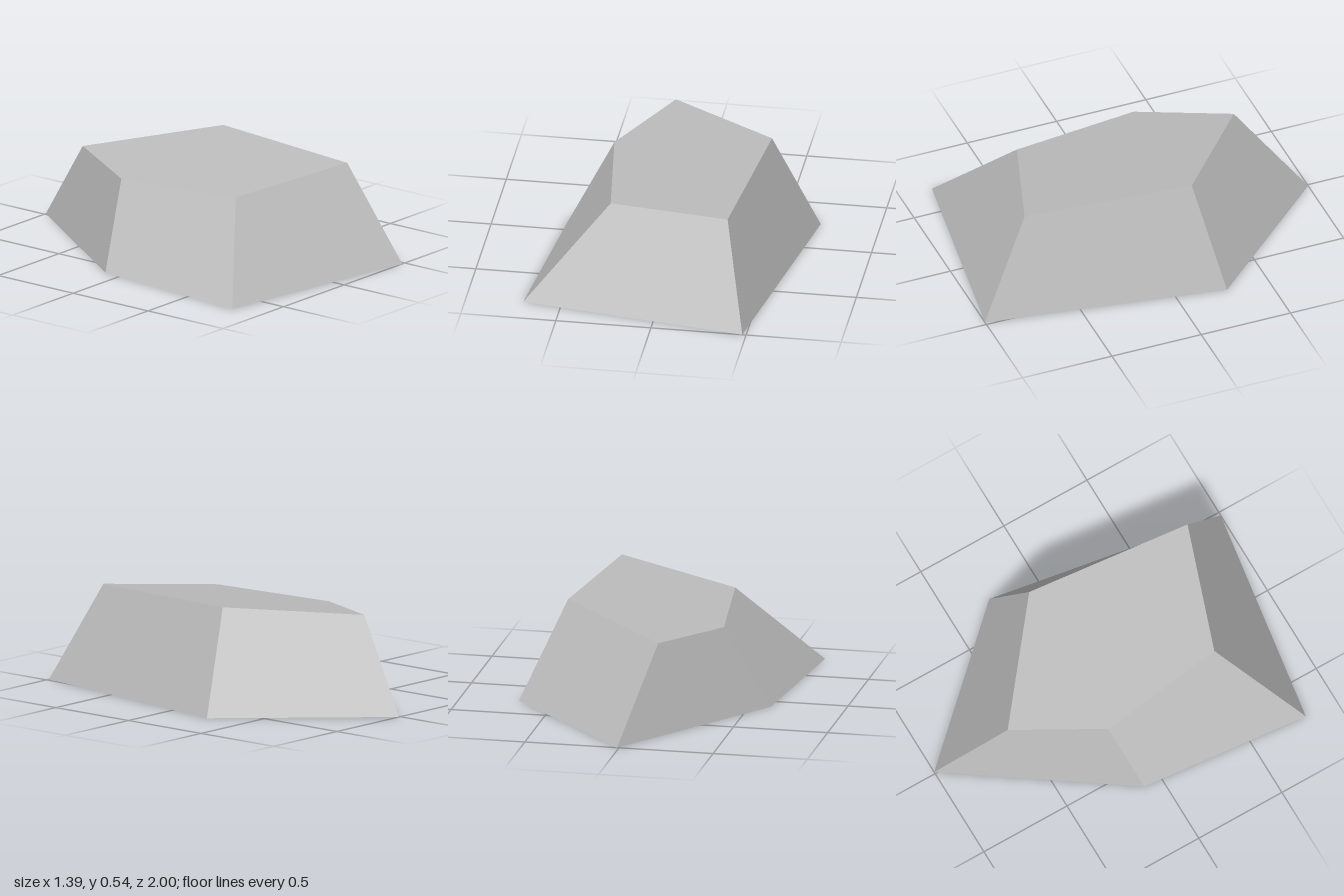
import * as THREE from 'three';

// Matching corners of the base and the smaller, tilted crown, anticlockwise from front left
const base = [[-0.7, 0, 0.82], [0.48, 0, 1], [0.69, 0, -0.27], [0.01, 0, -1], [-0.61, 0, -0.1]];
const crown = [[-0.29, 0.45, 0.51], [0.36, 0.525, 0.73], [0.45, 0.537, -0.17], [-0.13, 0.47, -0.64], [-0.38, 0.44, -0.18]];

// One facet as a fan of triangles sharing a single averaged normal
function facet(name, corners, material) {
  const points = corners.map((c) => new THREE.Vector3(...c));
  const normal = new THREE.Vector3();
  const index = [];
  for (let i = 1; i < points.length - 1; i++) {
    const a = points[i].clone().sub(points[0]);
    const b = points[i + 1].clone().sub(points[0]);
    normal.add(a.cross(b));
    index.push(0, i, i + 1);
  }
  normal.normalize();
  const geometry = new THREE.BufferGeometry().setFromPoints(points);
  geometry.setAttribute('normal', new THREE.Float32BufferAttribute(points.flatMap(() => normal.toArray()), 3));
  geometry.setIndex(index);
  const mesh = new THREE.Mesh(geometry, material);
  mesh.name = name;
  return mesh;
}

export function createModel() {
  const rock = new THREE.Group();
  rock.name = 'rock';
  const stone = new THREE.MeshStandardMaterial({ color: 0xbcbcbc, side: THREE.DoubleSide });
  stone.name = 'grey stone';

  // Sloping sides, open underneath
  const names = ['frontSide', 'leftSide', 'backLeftSide', 'backRightSide', 'rightSide'];
  names.forEach((name, i) => {
    const j = (i + 1) % base.length;
    rock.add(facet(name, [base[i], base[j], crown[j], crown[i]], stone));
  });

  // Tilted top
  rock.add(facet('top', crown, stone));
  return rock;
}
